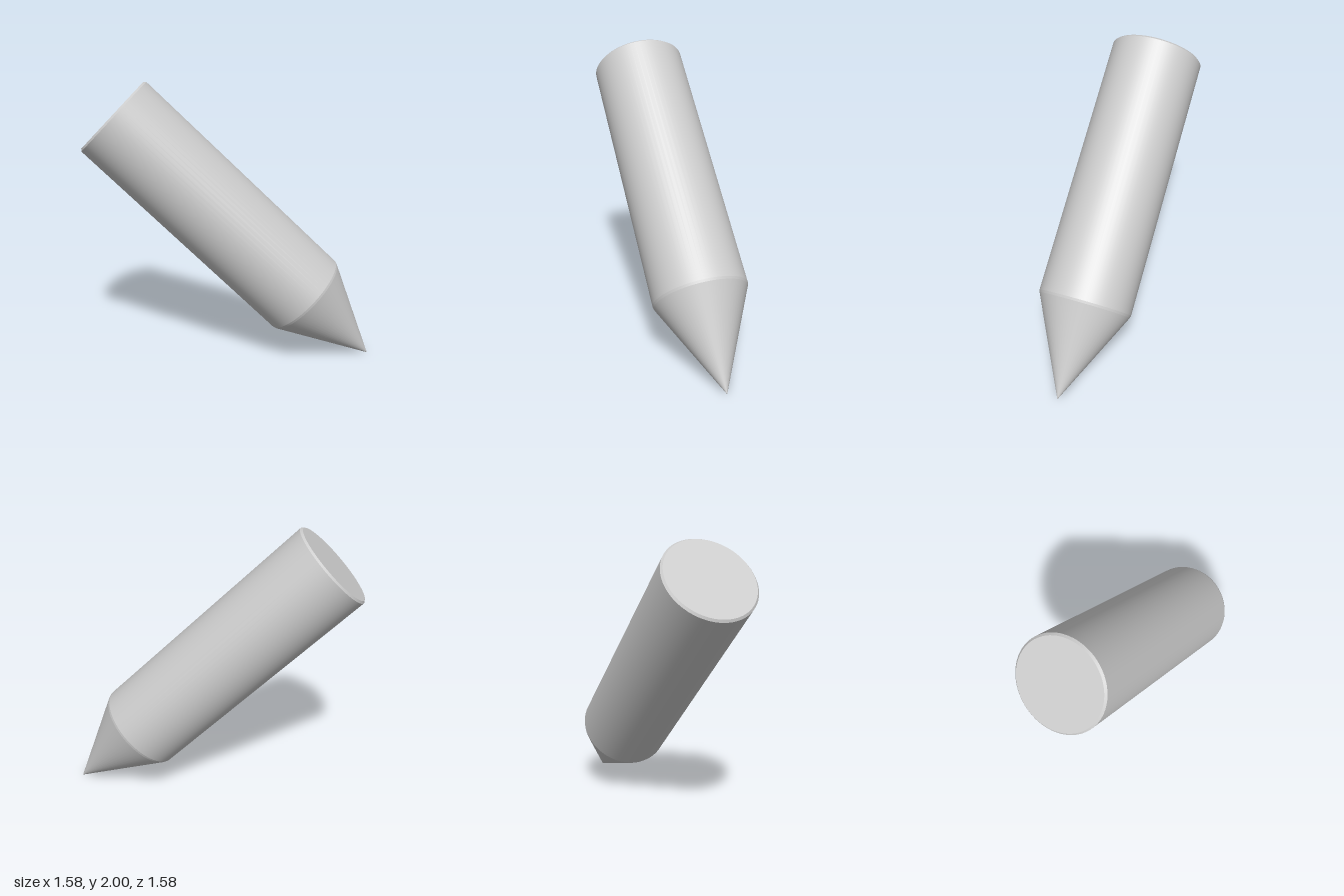
import * as THREE from 'three';

const SEGMENTS = 64;
const RADIUS = 0.33;
const LENGTH = 2.557;
const BEVEL = 0.014;

export function createModel() {
  const model = new THREE.Group();
  model.name = 'pointedRod';
  const material = new THREE.MeshStandardMaterial({ color: 0xcccccc });

  // Each surface band is its own lathe, so the edges between bands stay crisp.
  const addBand = (name, ...profile) => {
    const points = profile.map(([r, y]) => new THREE.Vector2(r, y));
    const mesh = new THREE.Mesh(new THREE.LatheGeometry(points, SEGMENTS), material);
    mesh.name = name;
    rod.add(mesh);
  };

  // Rod built upright with its tip at the origin, then leaned into place
  const rod = new THREE.Group();
  rod.name = 'rod';
  addBand('conePoint', [0, 0], [RADIUS - 0.005, 0.66]);
  addBand('shoulder', [RADIUS - 0.005, 0.66], [RADIUS, 0.677]);
  addBand('shaft', [RADIUS, 0.677], [RADIUS, LENGTH - BEVEL]);
  addBand('endChamfer', [RADIUS, LENGTH - BEVEL], [RADIUS - BEVEL, LENGTH]);
  addBand('endCap', [RADIUS - BEVEL, LENGTH], [0, LENGTH]);

  const axis = new THREE.Vector3(-1.305, 1.77, 1.305).normalize();
  rod.quaternion.setFromUnitVectors(new THREE.Vector3(0, 1, 0), axis);
  rod.position.set(0.79, 0, -0.79);
  model.add(rod);
  return model;
}
